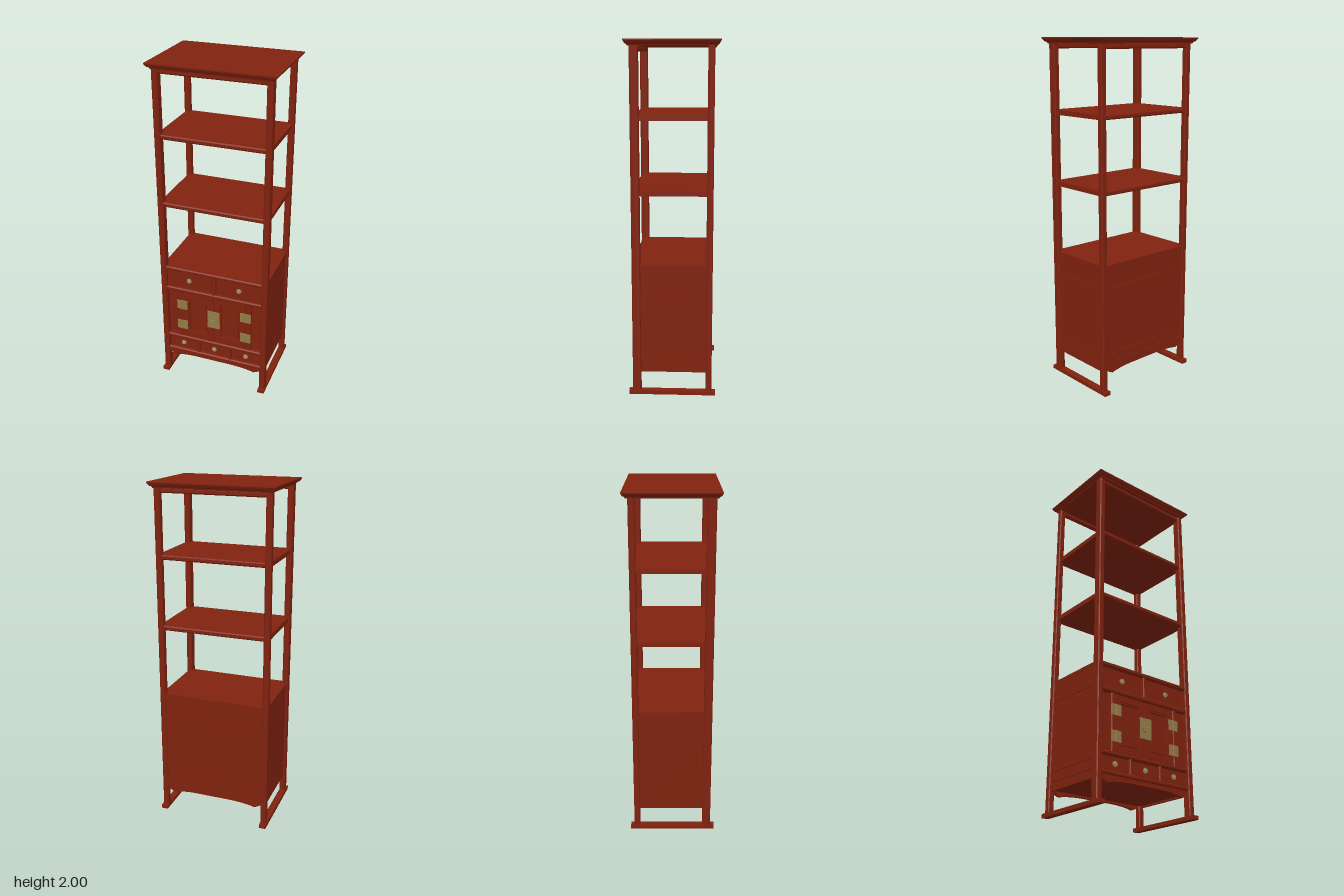
import * as THREE from 'three';

const lacquer = new THREE.MeshStandardMaterial({ color: 0x80220e });
lacquer.name = 'red lacquer';
const brass = new THREE.MeshStandardMaterial({ color: 0x967a48 });
brass.name = 'brass';
const paleMetal = new THREE.MeshStandardMaterial({ color: 0xa39a78 });
paleMetal.name = 'pale metal';

export function createModel() {
  const root = new THREE.Group();
  root.name = 'shelfCabinet';

  const add = (name, geo, mat = lacquer, parent = root) => {
    const m = new THREE.Mesh(geo, mat);
    m.name = name;
    parent.add(m);
    return m;
  };
  // Box given by its limits
  const box = (name, x0, x1, y0, y1, z0, z1, mat = lacquer) => {
    const m = add(name, new THREE.BoxGeometry(x1 - x0, y1 - y0, z1 - z0), mat);
    m.position.set((x0 + x1) / 2, (y0 + y1) / 2, (z0 + z1) / 2);
    return m;
  };
  // Rectangle with cut corners
  const chamfered = (w, h, c) => {
    const a = w / 2, b = h / 2;
    return new THREE.Shape([[-a + c, -b], [a - c, -b], [a, -b + c], [a, b - c],
      [a - c, b], [-a + c, b], [-a, b - c], [-a, -b + c]].map(p => new THREE.Vector2(...p)));
  };
  // Chamfered horizontal rail running along x
  const rail = (name, x0, x1, y0, y1, z0, z1, c = 0.006) => {
    const g = new THREE.ExtrudeGeometry(chamfered(z1 - z0, y1 - y0, c), { depth: x1 - x0, bevelEnabled: false });
    g.translate(0, 0, -(x1 - x0) / 2).rotateY(Math.PI / 2);
    add(name, g).position.set((x0 + x1) / 2, (y0 + y1) / 2, (z0 + z1) / 2);
  };
  // Chamfered upright running along y
  const upright = (name, x0, x1, y0, y1, z0, z1, c = 0.005) => {
    const g = new THREE.ExtrudeGeometry(chamfered(x1 - x0, z1 - z0, c), { depth: y1 - y0, bevelEnabled: false });
    g.rotateX(-Math.PI / 2);
    add(name, g).position.set((x0 + x1) / 2, y0, (z0 + z1) / 2);
  };
  // Rectangular frame with a hole, facing +z
  const frame = (name, x0, x1, y0, y1, t, z0, z1) => {
    const s = new THREE.Shape([[x0, y0], [x1, y0], [x1, y1], [x0, y1]].map(p => new THREE.Vector2(...p)));
    s.holes.push(new THREE.Path([[x0 + t, y0 + t], [x0 + t, y1 - t], [x1 - t, y1 - t], [x1 - t, y0 + t]]
      .map(p => new THREE.Vector2(...p))));
    add(name, new THREE.ExtrudeGeometry(s, { depth: z1 - z0, bevelEnabled: false })).position.z = z0;
  };

  // Moulded crown: a four-sided lathe stretched to a rectangle
  const crownProfile = [[0, 1.966], [0.925, 1.966], [0.935, 1.974], [0.965, 1.978], [0.985, 1.986], [1, 1.994], [1, 2], [0, 2]]
    .map(([r, y]) => new THREE.Vector2(r * Math.SQRT2, y));
  const crown = new THREE.LatheGeometry(crownProfile, 4, Math.PI / 4).toNonIndexed();
  crown.scale(0.36, 1, 0.257);
  crown.computeVertexNormals();
  add('crown', crown);
  for (const [z0, z1] of [[0.185, 0.222], [-0.222, -0.192]]) rail('topRail', -0.3, 0.3, 1.94, 1.968, z0, z1);

  // Posts and runner feet
  for (const s of [-1, 1]) {
    const a = Math.min(s * 0.3, s * 0.335), b = Math.max(s * 0.3, s * 0.335);
    upright('frontPost', a, b, 0.02, 1.968, 0.18, 0.228);
    upright('backPost', a, b, 0.02, 1.968, -0.225, -0.19);
    box('foot', Math.min(s * 0.299, s * 0.339), Math.max(s * 0.299, s * 0.339), 0, 0.022, -0.246, 0.25);
  }

  // Open shelves with moulded edges
  for (const y of [1.165, 1.575]) {
    box('shelf', -0.325, 0.325, y, y + 0.027, -0.21, 0.205);
    rail('shelfFrontEdge', -0.3, 0.3, y, y + 0.027, 0.19, 0.222);
    rail('shelfBackEdge', -0.3, 0.3, y, y + 0.027, -0.222, -0.2);
  }

  // Cabinet body, top, and raised panels on the sides and back
  box('cabinetBody', -0.318, 0.318, 0.145, 0.752, -0.212, 0.195);
  box('cabinetTop', -0.326, 0.326, 0.75, 0.77, -0.22, 0.21);
  for (const [y0, y1] of [[0.135, 0.182], [0.185, 0.237], [0.24, 0.637], [0.64, 0.752]]) {
    box('backPanel', -0.3, 0.3, Math.max(y0, 0.15), y1, -0.218, -0.21);
    for (const s of [-1, 1]) {
      box('sidePanel', Math.min(s * 0.31, s * 0.324), Math.max(s * 0.31, s * 0.324), y0, y1, -0.19, 0.18);
    }
  }

  // Front rails, muntins and stiles
  for (const [y0, y1] of [[0.747, 0.77], [0.604, 0.63], [0.26, 0.282], [0.157, 0.18]]) {
    rail('frontRail', -0.31, 0.31, y0, y1, 0.19, 0.224);
  }
  upright('upperMuntin', -0.013, 0.013, 0.628, 0.75, 0.19, 0.22);
  for (const s of [-1, 1]) {
    upright('lowerMuntin', s * 0.103 - 0.01, s * 0.103 + 0.01, 0.178, 0.262, 0.19, 0.22);
    upright('doorStile', s * 0.22 - 0.015, s * 0.22 + 0.015, 0.28, 0.606, 0.19, 0.217);
    box('sideFrontPanel', s * 0.268 - 0.027, s * 0.268 + 0.027, 0.29, 0.597, 0.19, 0.203);
  }

  // Drawer fronts with ring pulls
  const drawer = (x, y, w, h) => {
    box('drawerFront', x - w / 2, x + w / 2, y - h / 2, y + h / 2, 0.19, 0.207);
    const pull = new THREE.Group();
    pull.name = 'drawerPull';
    pull.position.set(x, y, 0.207);
    const plate = add('pullPlate', new THREE.CylinderGeometry(0.017, 0.017, 0.004, 6), brass, pull);
    plate.rotation.x = Math.PI / 2;
    add('pullRing', new THREE.TorusGeometry(0.011, 0.0025, 6, 20), paleMetal, pull).position.z = 0.007;
    add('pullKnob', new THREE.SphereGeometry(0.006, 12, 8), paleMetal, pull).position.z = 0.005;
    root.add(pull);
  };
  for (const x of [-0.158, 0.158]) drawer(x, 0.688, 0.282, 0.112);
  for (const x of [-0.205, 0, 0.205]) drawer(x, 0.221, x ? 0.178 : 0.182, 0.072);

  // Doors: outer frame, inner bead and raised panel
  for (const s of [-1, 1]) {
    const x0 = s > 0 ? 0.002 : -0.203, x1 = x0 + 0.201;
    frame('doorFrame', x0, x1, 0.285, 0.601, 0.034, 0.19, 0.215);
    frame('doorBead', x0 + 0.034, x1 - 0.034, 0.319, 0.567, 0.009, 0.19, 0.209);
    box('doorPanel', x0 + 0.048, x1 - 0.048, 0.333, 0.553, 0.19, 0.206);
    // Hinges with a knuckle down the middle
    for (const y of [0.367, 0.512]) {
      box('hingePlate', s * 0.204 - 0.033, s * 0.204 + 0.033, y - 0.031, y + 0.031, 0.214, 0.22, brass);
      const knuckle = add('hingeKnuckle', new THREE.CylinderGeometry(0.005, 0.005, 0.062, 12), brass);
      knuckle.position.set(s * 0.204, y, 0.219);
    }
  }

  // Lock plate, split between the doors, with a round boss
  for (const s of [-1, 1]) box('lockPlate', s * 0.0195 - 0.019, s * 0.0195 + 0.019, 0.39, 0.508, 0.214, 0.221, brass);
  const disc = add('lockDisc', new THREE.CylinderGeometry(0.027, 0.027, 0.006, 32), brass);
  disc.rotation.x = Math.PI / 2;
  disc.position.set(0, 0.452, 0.223);
  for (const s of [-1, 1]) {
    const lug = add('lockLug', new THREE.CylinderGeometry(0.003, 0.003, 0.014, 10), paleMetal);
    lug.rotation.x = Math.PI / 2;
    lug.position.set(s * 0.008, 0.452, 0.23);
  }

  // Arched aprons, front and back
  const apron = new THREE.Shape();
  apron.moveTo(-0.302, 0.16);
  apron.lineTo(-0.302, 0.142);
  apron.quadraticCurveTo(-0.285, 0.126, -0.258, 0.117);
  apron.quadraticCurveTo(-0.21, 0.131, -0.12, 0.134);
  apron.lineTo(0.12, 0.134);
  apron.quadraticCurveTo(0.21, 0.131, 0.258, 0.117);
  apron.quadraticCurveTo(0.285, 0.126, 0.302, 0.142);
  apron.lineTo(0.302, 0.16);
  for (const [name, z] of [['frontApron', 0.196], ['backApron', -0.218]]) {
    add(name, new THREE.ExtrudeGeometry(apron, { depth: 0.018, bevelEnabled: false, curveSegments: 8 })).position.z = z;
  }
  return root;
}
